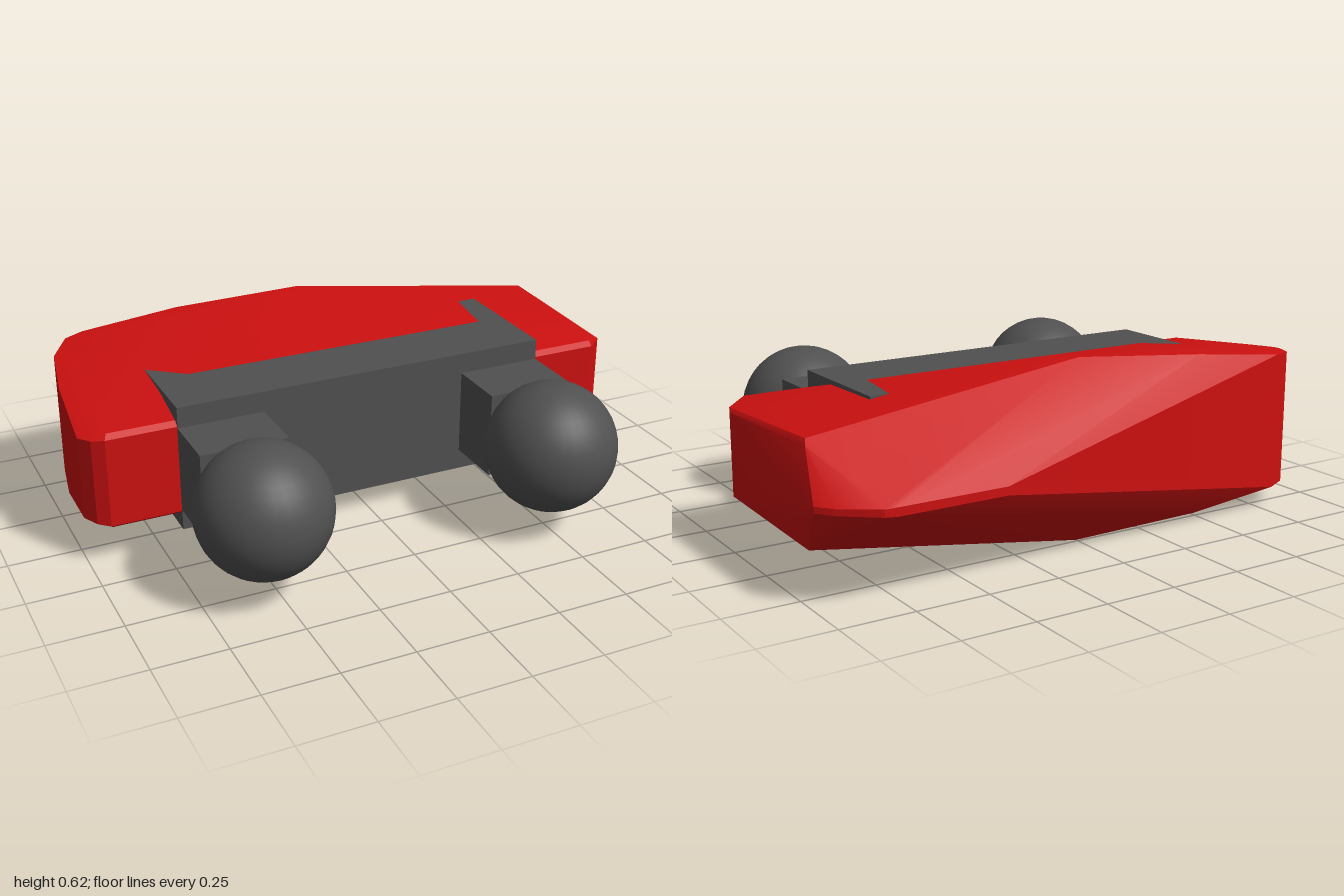
import * as THREE from 'three';
import { ConvexGeometry } from 'three/addons/geometries/ConvexGeometry.js';
import { toCreasedNormals } from 'three/addons/utils/BufferGeometryUtils.js';

const MID = 0.311; // height of the horizontal symmetry plane

export function createModel() {
  const model = new THREE.Group();
  const red = new THREE.MeshStandardMaterial({ color: 0xcc1010 });
  const grey = new THREE.MeshStandardMaterial({ color: 0x505050 });

  const add = (name, geometry, material, x = 0, y = 0, z = 0) => {
    const mesh = new THREE.Mesh(geometry, material);
    mesh.name = name;
    mesh.position.set(x, y, z);
    model.add(mesh);
  };

  // Faceted shell: upper corners as [x, half height, z], mirrored below
  const corners = [
    // crown
    [0, 0.309, -0.43], [0, 0.309, -0.49], [-0.45, 0.278, -0.55],
    // front face and its bevel
    [-0.93, 0.155, 0.155], [0.89, 0.155, 0.155], [-0.92, 0.17, 0.135], [0.89, 0.17, 0.135],
    // tall rounded end
    [-0.97, 0.15, 0.13], [-1, 0.145, 0.08], [-0.98, 0.195, -0.2], [-0.94, 0.222, -0.42],
    [-0.93, 0.224, -0.4], [-0.87, 0.236, -0.53], [-0.8, 0.24, -0.56], [-0.8, 0.248, -0.5],
    // tapered end
    [0.96, 0.15, 0.09], [0.97, 0.14, 0.05], [0.91, 0.179, -0.44], [0.95, 0.172, -0.46],
    [0.96, 0.155, -0.48],
    // rear ridge
    [1, 0.01, -0.57], [0.995, 0.01, -0.6], [0.95, 0.01, -0.66], [0.84, 0.012, -0.738],
    [0.8, 0.014, -0.745], [0.43, 0.014, -0.745],
  ];
  const points = corners.flatMap(([x, h, z]) => [
    new THREE.Vector3(x, MID + h, z),
    new THREE.Vector3(x, MID - h, z),
  ]);
  add('shell', toCreasedNormals(new ConvexGeometry(points), 0.4), red);

  // Mounting block set into the shell
  add('mountingBlock', new THREE.BoxGeometry(1.34, 0.446, 0.45), grey, -0.02, MID, -0.067);

  // Two stems, each carrying a ball
  for (const [side, stemX, ballX] of [['right', -0.54, -0.54], ['left', 0.5, 0.5]]) {
    add(side + 'Stem', new THREE.BoxGeometry(0.3, 0.3, 0.25), grey, stemX, MID, 0.245);
    add(side + 'Ball', new THREE.SphereGeometry(0.224, 32, 20), grey, ballX, MID, 0.518);
  }
  return model;
}
